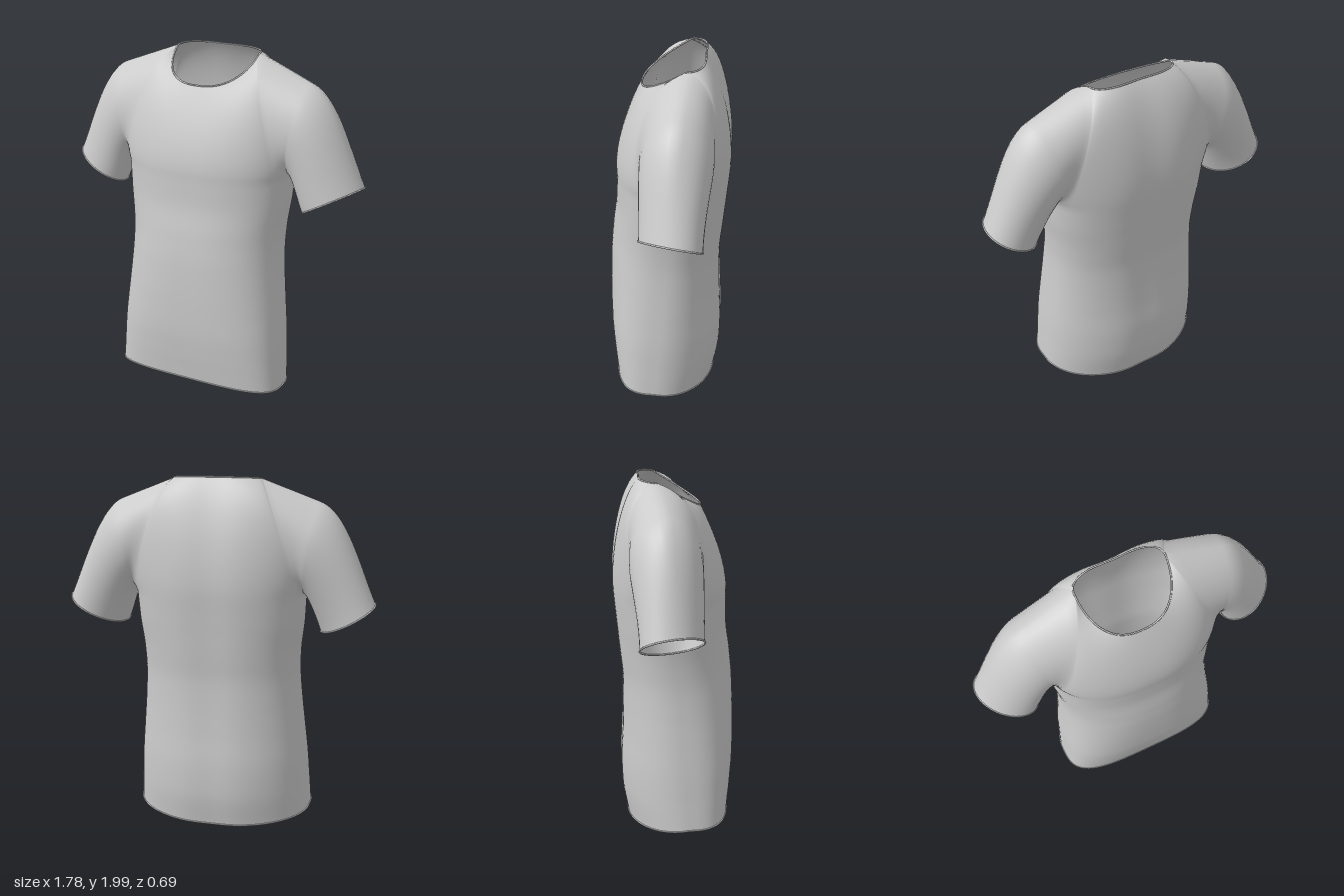
import * as THREE from 'three';
import { mergeGeometries, mergeVertices } from 'three/addons/utils/BufferGeometryUtils.js';

const { lerp, smoothstep } = THREE.MathUtils;
const V = (x, y, z) => new THREE.Vector3(x, y, z);
const N = 48; // columns across the front or the back
const M = 20; // rows from armpit to shoulder

// Torso profile from hem to armpit at equal heights: half width, front z, back z
const profile = new THREE.CatmullRomCurve3([
  [0.515, 0.31, -0.28], [0.505, 0.33, -0.31], [0.495, 0.345, -0.315],
  [0.48, 0.35, -0.305], [0.465, 0.35, -0.3], [0.455, 0.345, -0.3],
  [0.46, 0.33, -0.315], [0.48, 0.308, -0.33], [0.49, 0.305, -0.345],
].map((p) => V(...p)));

const bezier = (a, b, c, d, t) => new THREE.CubicBezierCurve3(a, b, c, d).getPoint(t);

// Shallow groove down the spine
function groove(p) {
  if (p.z < -0.15) p.z += 0.014 * Math.exp(-((p.x / 0.12) ** 2));
  return p;
}

// Torso ring: a runs 0..1 from left side to right side, f is 1 in front, -1 behind.
// The front is boxy at the hem and rounder above, the back is nearly elliptical.
function ring(f, a, v) {
  const t = a * Math.PI;
  const power = f > 0 ? lerp(0.58, 0.86, Math.min(1, v * 1.4)) : lerp(1, 0.88, v);
  const c = Math.cos(t);
  const s = Math.max(Math.sin(t), 0) ** power;
  const { x: w, y: zf, z: zb } = profile.getPoint(v);
  const zs = lerp(0.06, -0.03, v);
  const tilt = (f > 0 ? 0.03 * s ** 2 : -0.05 * s) * Math.max(0, 1 - v * 2.5);
  return V(w * Math.sign(c) * Math.abs(c) ** power,
    lerp(0.06, 1.34, v) + tilt,
    lerp(zs, f > 0 ? zf : zb, s));
}

// Shoulder seam, then neckline; q runs 0..1 from armhole to centre
function topEdge(f, q) {
  if (q < 0.25) return V(lerp(0.565, 0.25, q * 4), lerp(1.865, 1.985, q * 4), lerp(-0.07, -0.1, q * 4));
  const h = ((q - 0.25) / 0.75) * Math.PI / 2;
  const s = Math.sin(h);
  const x = 0.25 * Math.max(Math.cos(h), 0) ** 0.8;
  return f > 0 ? V(x, 1.985 - 0.15 * s, -0.1 + 0.26 * s)
    : V(x, 1.985 + 0.01 * s, -0.1 - 0.1 * s ** 0.8);
}

// Upper chest or back between armpit level and shoulder
function yoke(f, a, v) {
  const q = 2 * Math.min(a, 1 - a);
  const side = a > 0.5 ? -1 : 1;
  const low = ring(f, a, 1);
  const top = topEdge(f, q);
  top.x *= side;
  const k1 = 1 - (1 - q) ** 4;
  const k2 = smoothstep(q, 0, 1);
  const c1 = low.clone().add(f > 0
    ? V(0, lerp(0.05, 0.16, k1), lerp(0.24, 0.015, k1))
    : V(0, lerp(0.05, 0.2, k1), lerp(-0.3, -0.02, k1)));
  // Fan the cloth out from the neck towards the chest width
  const c2 = f > 0
    ? V(lerp(top.x, low.x, 0.4), top.y - lerp(0.05, 0.11, k2), lerp(0.17, 0.215, k2))
    : V(lerp(top.x, low.x, 0.4), top.y - lerp(0.05, 0.14, k2), lerp(-0.32, -0.31, k2));
  return bezier(low, c1, c2, top, v);
}

// Sleeve from the armhole to its opening; u runs once around from the armpit
function sleeve(side, u, v) {
  const f = u <= 0.5 ? 1 : -1;
  const root = yoke(f, 0, f > 0 ? u * 2 : 2 - u * 2);
  const c = Math.cos(u * 2 * Math.PI);
  const s = Math.sin(u * 2 * Math.PI);
  const up = (1 - c) / 2;
  const end = V(0.732 - 0.152 * c - 0.035 * s, 1.225 - 0.085 * c + 0.008 * s, -0.04 - 0.01 * up + 0.17 * s);
  const c1 = root.clone().add(V(lerp(0.03, 0.15, up), lerp(-0.03, -0.055, up), 0));
  const reach = lerp(0.06, 0.28, up);
  const c2 = end.clone().add(V(-0.4 * reach, 0.91 * reach, 0));
  const p = bezier(root, c1, c2, end, v);
  p.x *= side;
  return p;
}

// Grid of points turned into triangles
function grid(fn, nu, nv, flip) {
  const pos = [];
  const idx = [];
  for (let j = 0; j <= nv; j++) {
    for (let i = 0; i <= nu; i++) {
      pos.push(...groove(fn(i / nu, j / nv)).toArray());
      if (i === nu || j === nv) continue;
      const a = j * (nu + 1) + i;
      const b = a + 1;
      const c = a + nu + 1;
      const d = c + 1;
      idx.push(...(flip ? [a, b, c, b, d, c] : [a, c, b, b, c, d]));
    }
  }
  const g = new THREE.BufferGeometry();
  g.setAttribute('position', new THREE.Float32BufferAttribute(pos, 3));
  g.setIndex(idx);
  return g;
}

export function createModel() {
  const group = new THREE.Group();
  group.name = 'tShirt';
  const material = new THREE.MeshStandardMaterial({ color: 0xcccccc, side: THREE.DoubleSide });
  const add = (name, geometry) => {
    const mesh = new THREE.Mesh(geometry, material);
    mesh.name = name;
    group.add(mesh);
  };

  // Torso, yoke and sleeves welded into one smooth cloth surface
  const parts = [];
  for (const s of [1, -1]) {
    parts.push(grid((u, v) => ring(s, u, v), N, 40, s < 0));
    parts.push(grid((u, v) => yoke(s, u, v), N, M, s < 0));
    parts.push(grid((u, v) => sleeve(s, u, v), 2 * M, 24, s < 0));
  }
  const cloth = mergeVertices(mergeGeometries(parts), 1e-4);
  cloth.computeVertexNormals();
  add('shirtCloth', cloth);

  // Thin rolled edges around every opening
  const edge = (name, fn) => {
    const pts = Array.from({ length: 64 }, (_, i) => groove(fn(i / 64)));
    const path = new THREE.CatmullRomCurve3(pts, true);
    add(name, new THREE.TubeGeometry(path, 128, 0.005, 6, true));
  };
  const around = (fn, v) => (u) => (u <= 0.5 ? fn(1, u * 2, v) : fn(-1, 2 - u * 2, v));
  edge('bottomHem', around(ring, 0));
  edge('leftSleeveHem', (u) => sleeve(1, u, 1));
  edge('rightSleeveHem', (u) => sleeve(-1, u, 1));
  edge('collar', around((f, a) => yoke(f, 0.125 + 0.75 * a, 1)));
  return group;
}
